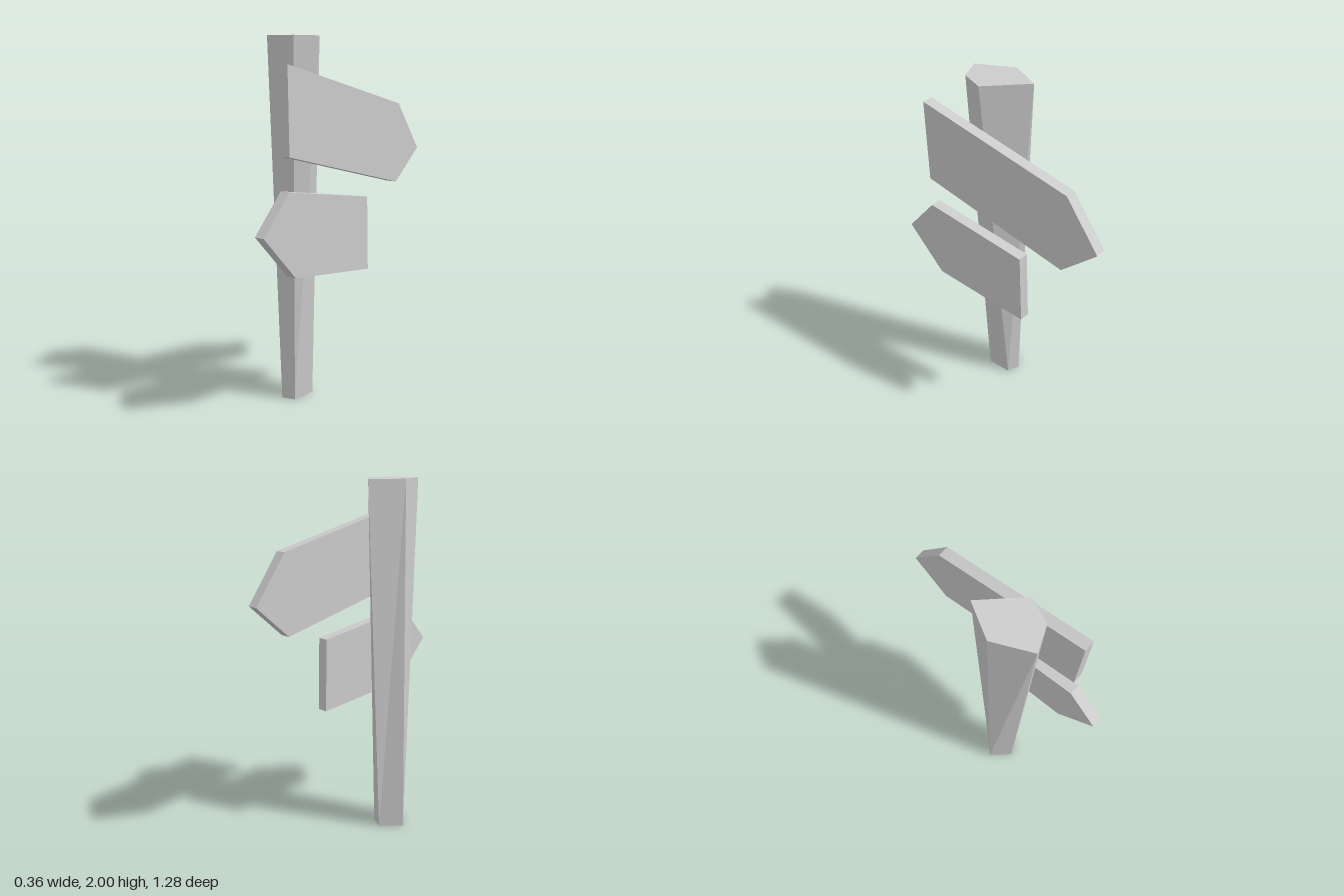
import * as THREE from 'three';

const material = new THREE.MeshStandardMaterial({
  color: 0xcccccc, flatShading: true, side: THREE.DoubleSide,
});

// Five-sided post, flaring from a small open foot to a wide closed top.
// Rings are [x, z] corners, running back, right, front, left.
function createPost(height) {
  const foot = [[-0.085, 0.05], [-0.015, 0.08], [-0.015, 0.225], [-0.085, 0.255], [-0.183, 0.152]];
  const head = [[-0.085, -0.045], [0.107, 0.15], [0.05, 0.285], [-0.085, 0.342], [-0.183, 0.138]];
  const n = foot.length;
  const positions = [];
  for (const [ring, y] of [[foot, 0], [head, height]]) {
    for (const [x, z] of ring) positions.push(x, y, z);
  }
  const index = [];
  for (let i = 0; i < n; i++) {
    const j = (i + 1) % n;
    index.push(j, i, n + i, j, n + i, n + j);
  }
  // top cap
  for (let i = 1; i < n - 1; i++) index.push(n, n + i + 1, n + i);

  const indexed = new THREE.BufferGeometry();
  indexed.setAttribute('position', new THREE.Float32BufferAttribute(positions, 3));
  indexed.setIndex(index);
  const geometry = indexed.toNonIndexed();
  geometry.computeVertexNormals();
  const mesh = new THREE.Mesh(geometry, material);
  mesh.name = 'post';
  return mesh;
}

// Arrow-shaped board from a [z, y] outline, given thickness along x.
function createBoard(name, outline) {
  const shape = new THREE.Shape(outline.map(([z, y]) => new THREE.Vector2(-z, y)));
  const geometry = new THREE.ExtrudeGeometry(shape, { depth: 0.062, bevelEnabled: false });
  geometry.rotateY(Math.PI / 2);
  geometry.translate(0.118, 0, 0);
  const mesh = new THREE.Mesh(geometry, material);
  mesh.name = name;
  return mesh;
}

export function createModel() {
  const group = new THREE.Group();
  group.name = 'signpost';
  group.add(
    createPost(2),
    // upper board points backward
    createBoard('upperBoard', [[0.465, 1.85], [0.455, 1.395], [-0.43, 1.19], [-0.638, 1.375], [-0.447, 1.64]]),
    // lower board points forward
    createBoard('lowerBoard', [[0.457, 1.22], [0.64, 1.01], [0.415, 0.77], [-0.177, 0.715], [-0.165, 1.13]]),
  );
  return group;
}
